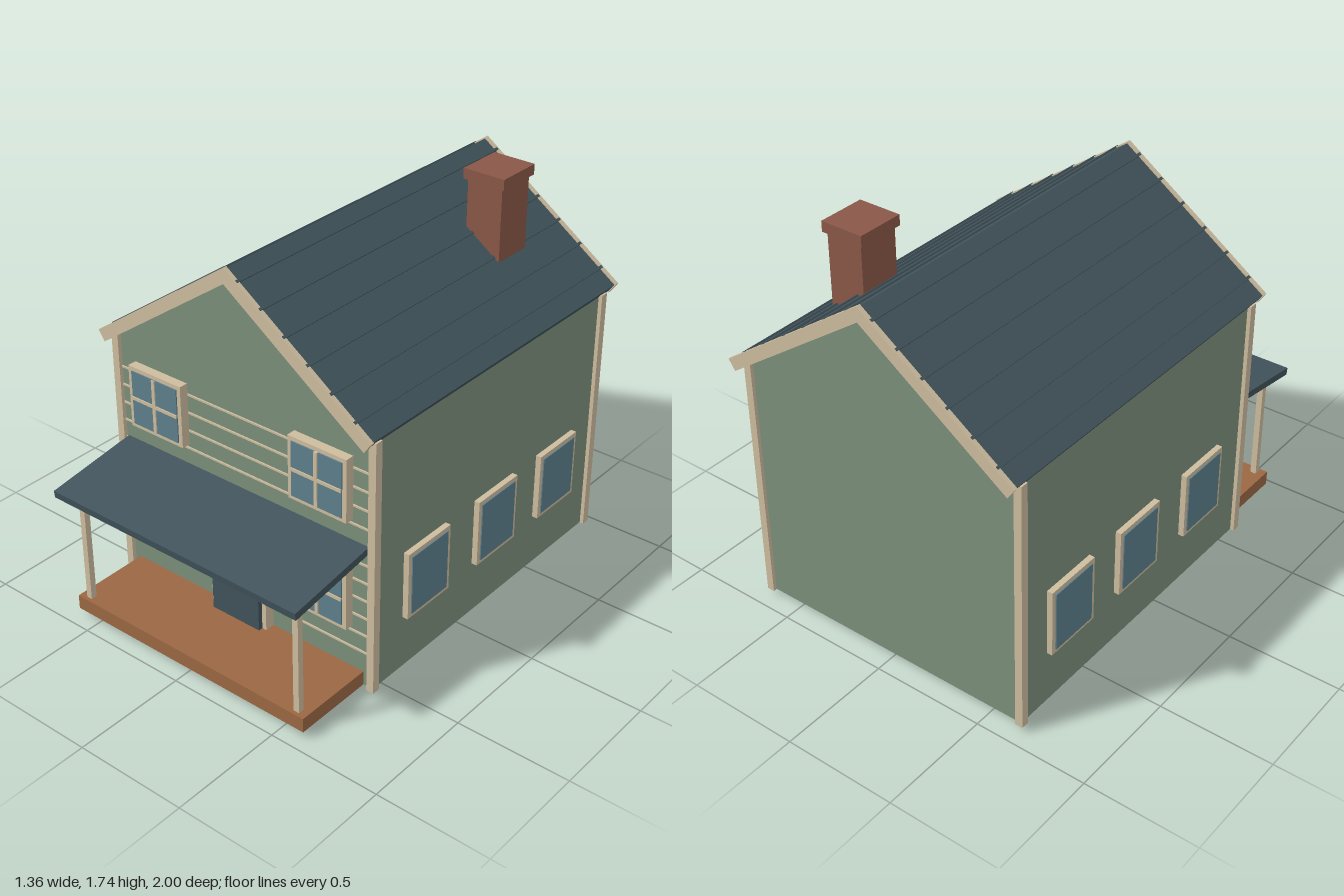
import * as THREE from 'three';

export function createModel() {
  const house = new THREE.Group();
  house.name = 'house';
  const mat = (name, color) => {
    const m = new THREE.MeshStandardMaterial({ color });
    m.name = name;
    return m;
  };
  const wall = mat('sage wall', 0x7b8f7b);
  const trim = mat('cream trim', 0xcdbd9f);
  const slate = mat('dark slate', 0x41535b);
  const glass = mat('window glass', 0x5e7f8c);
  const brick = mat('brick', 0x8a5848);
  const wood = mat('deck wood', 0x9b6843);

  const add = (name, geo, material, parent = house) => {
    const m = new THREE.Mesh(geo, material);
    m.name = name;
    parent.add(m);
    return m;
  };
  const box = (name, material, [w, h, d], [x, y, z], parent = house) => {
    const m = add(name, new THREE.BoxGeometry(w, h, d), material, parent);
    m.position.set(x, y, z);
    return m;
  };
  // Prism with an outline in x,y running from z0 to z1
  const prism = (name, material, points, z0, z1) => {
    const shape = new THREE.Shape(points.map(([x, y]) => new THREE.Vector2(x, y)));
    const geo = new THREE.ExtrudeGeometry(shape, { depth: z1 - z0, bevelEnabled: false });
    return add(name, geo.translate(0, 0, z0), material);
  };

  // Gabled body
  prism('body', wall, [[-0.65, 0.03], [0.65, 0.03], [0.65, 1.15], [0, 1.605], [-0.65, 1.15]], -0.92, 0.58);

  // Corner boards
  for (const x of [-0.65, 0.65])
    for (const z of [-0.918, 0.58])
      box('cornerBoard', trim, [0.034, 1.13, 0.036], [x, 0.593, z]);

  // Thin siding strips across the front
  for (let i = 0; i < 11; i++)
    box('sidingStrip', trim, [1.27, 0.008, 0.008], [0, 0.19 + i * 0.0818, 0.582]);

  // Main roof and barge boards
  const chevron = (top, edgeX, edgeY, lowX, lowY, under) =>
    [[0, top], [-edgeX, edgeY], [-lowX, lowY], [0, under], [lowX, lowY], [edgeX, edgeY]];
  prism('roof', slate, chevron(1.655, 0.676, 1.182, 0.65, 1.146, 1.601), -0.975, 0.63);
  const barge = chevron(1.662, 0.682, 1.184, 0.652, 1.14, 1.597);
  prism('frontBargeBoard', trim, barge, 0.63, 0.65);
  prism('backBargeBoard', trim, barge, -0.995, -0.975);

  // Raised roof seams
  const slope = Math.atan2(0.473, 0.676);
  for (const side of [-1, 1])
    for (let i = 0; i < 6; i++) {
      const x = 0.055 + i * 0.109;
      const seam = box('roofSeam', slate, [0.012, 0.014, 1.63], [side * x, 1.656 - x * 0.7, -0.172]);
      seam.rotation.z = -side * slope;
    }

  // Chimney
  box('chimneyShaft', brick, [0.163, 0.42, 0.185], [0.324, 1.485, -0.607]);
  box('chimneyCap', brick, [0.193, 0.045, 0.21], [0.324, 1.713, -0.607]);

  // Window facing +z, resting on the wall plane at its local z = 0
  const makeWindow = (name, w, h, divided) => {
    const g = new THREE.Group();
    g.name = name;
    box('frame', trim, [w, h, 0.04], [0, 0, 0.005], g);
    box('pane', glass, [w - 0.038, h - 0.036, 0.02], [0, 0, 0.02], g);
    if (divided) {
      box('verticalBar', trim, [0.016, h - 0.036, 0.01], [0, 0, 0.03], g);
      box('horizontalBar', trim, [w - 0.038, 0.014, 0.01], [0, 0, 0.03], g);
    }
    house.add(g);
    return g;
  };
  for (const x of [-0.413, 0.413])
    for (const y of [0.433, 0.921]) {
      const w = makeWindow('frontWindow', 0.28, 0.275, true);
      w.position.set(x, y, 0.6);
    }
  for (const side of [-1, 1])
    for (const z of [0.265, -0.193, -0.63]) {
      const w = makeWindow('sideWindow', 0.265, 0.302, false);
      w.position.set(side * 0.65, 0.422, z);
      w.rotation.y = side * Math.PI / 2;
    }

  // Door
  box('doorFrame', trim, [0.288, 0.55, 0.045], [0, 0.275, 0.602]);
  box('door', slate, [0.246, 0.45, 0.03], [0, 0.305, 0.63]);

  // Porch: deck, posts and sloping roof
  box('porchDeck', wood, [1.208, 0.064, 0.36], [0, 0.062, 0.76]);
  for (const x of [-0.557, 0.557])
    box('porchPost', trim, [0.027, 0.52, 0.027], [x, 0.352, 0.91]);
  const porch = prism('porchRoof', slate,
    [[-1.0, 0.627], [-0.996, 0.595], [-0.575, 0.657], [-0.575, 0.688]], -0.625, 0.625);
  porch.rotation.y = Math.PI / 2;

  return house;
}
